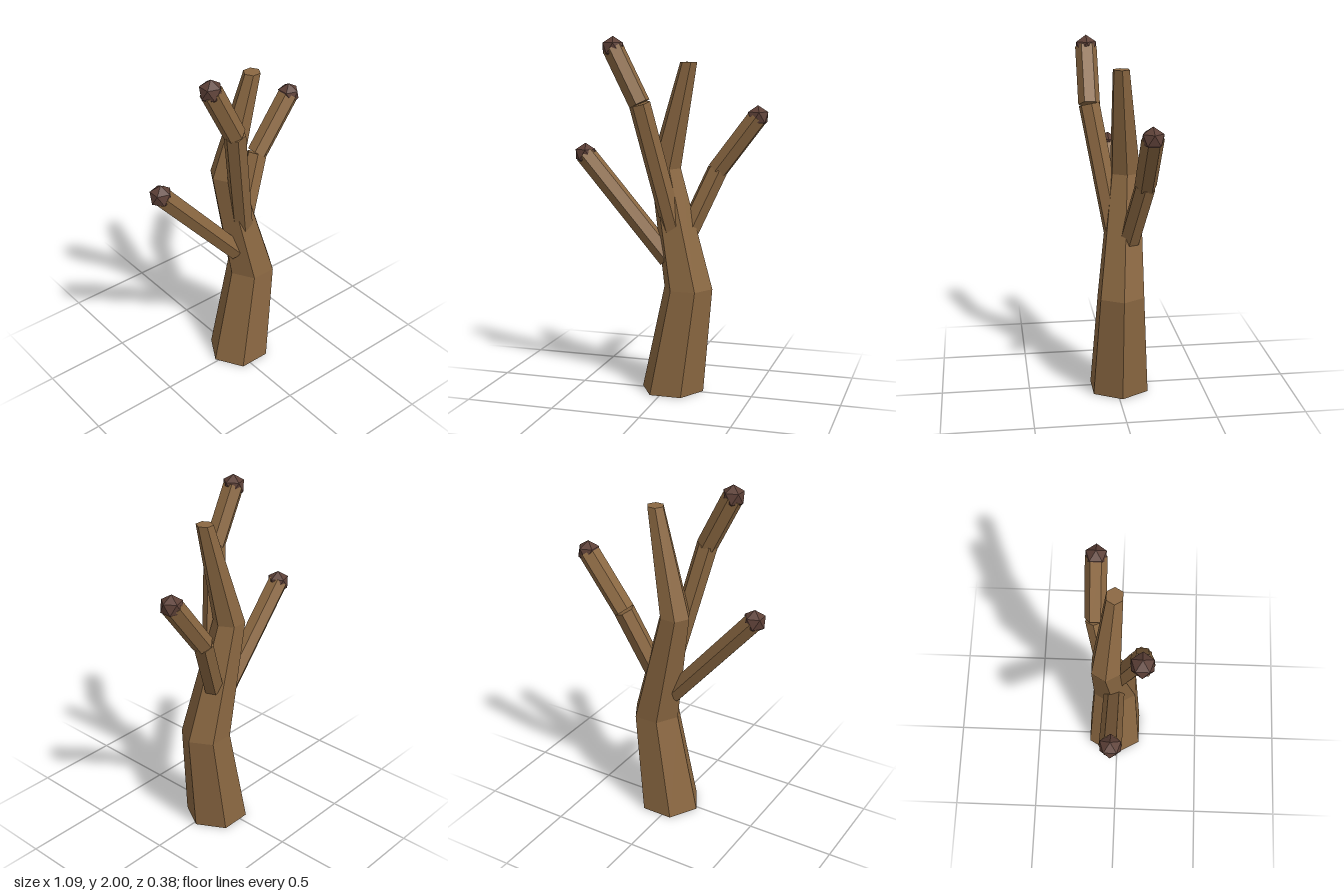
import * as THREE from 'three';

const wood = new THREE.MeshStandardMaterial({ color: 0x8b6842, flatShading: true });
wood.name = 'wood';
const bud = new THREE.MeshStandardMaterial({ color: 0x5d4037, flatShading: true });
bud.name = 'darkBud';

const SIDES = 6;

// Closed loft through horizontal hexagon rings [x, y, z, radius]
function loft(rings) {
  const pos = [], index = [];
  for (const [x, y, z, r] of rings) {
    for (let i = 0; i < SIDES; i++) {
      const a = (i / SIDES) * Math.PI * 2;
      pos.push(x + r * Math.cos(a), y, z + r * Math.sin(a));
    }
  }
  for (let k = 0; k < rings.length - 1; k++) {
    for (let i = 0; i < SIDES; i++) {
      const j = (i + 1) % SIDES;
      const a = k * SIDES + i, b = k * SIDES + j;
      index.push(a, a + SIDES, b, b, a + SIDES, b + SIDES);
    }
  }
  const top = (rings.length - 1) * SIDES;
  for (let i = 1; i < SIDES - 1; i++) {
    index.push(0, i, i + 1); // bottom cap
    index.push(top, top + i + 1, top + i); // top cap
  }
  const indexed = new THREE.BufferGeometry();
  indexed.setAttribute('position', new THREE.Float32BufferAttribute(pos, 3));
  indexed.setIndex(index);
  const geometry = indexed.toNonIndexed();
  geometry.computeVertexNormals();
  return geometry;
}

// Straight hexagonal piece from one point to another
function limb(from, to, name) {
  const a = new THREE.Vector3(...from), b = new THREE.Vector3(...to);
  const d = b.clone().sub(a), length = d.length();
  const geometry = new THREE.CylinderGeometry(0.06, 0.06, length, SIDES, 1, false, Math.PI / 6);
  const mesh = new THREE.Mesh(geometry, wood);
  mesh.rotation.set(Math.acos(d.y / length), Math.atan2(d.x, d.z), 0, 'YXZ');
  mesh.position.copy(a).add(b).multiplyScalar(0.5);
  mesh.name = name;
  return mesh;
}

export function createModel() {
  const group = new THREE.Group();
  group.name = 'bareTree';

  // Crooked trunk
  const trunk = new THREE.Mesh(loft([
    [0.035, 0, -0.018, 0.18],
    [0.125, 0.6, -0.018, 0.14],
    [-0.022, 1.27, -0.06, 0.09],
    [0.123, 1.86, -0.018, 0.048],
  ]), wood);
  trunk.name = 'trunk';
  group.add(trunk);

  // Bud with a point straight up
  const budGeometry = new THREE.IcosahedronGeometry(0.065, 0);
  budGeometry.rotateX(-Math.atan((1 + Math.sqrt(5)) / 2));
  budGeometry.rotateY(Math.PI / 2);

  // Branches follow their points and end in a bud
  const branches = {
    rightBranch: [[0.01, 0.76, -0.02], [-0.485, 1.337, -0.02]],
    frontBranch: [[0.045, 0.92, 0.005], [-0.112, 1.637, 0.128], [-0.262, 1.935, 0.128]],
    leftBranch: [[0.112, 0.915, -0.067], [0.262, 1.26, -0.13], [0.487, 1.56, -0.13]],
  };
  for (const [name, points] of Object.entries(branches)) {
    const branch = new THREE.Group();
    branch.name = name;
    for (let i = 0; i < points.length - 1; i++) {
      branch.add(limb(points[i], points[i + 1], `${name}Piece${i + 1}`));
    }
    const tip = new THREE.Mesh(budGeometry, bud);
    tip.position.set(...points[points.length - 1]);
    tip.name = `${name}Bud`;
    branch.add(tip);
    group.add(branch);
  }
  return group;
}
